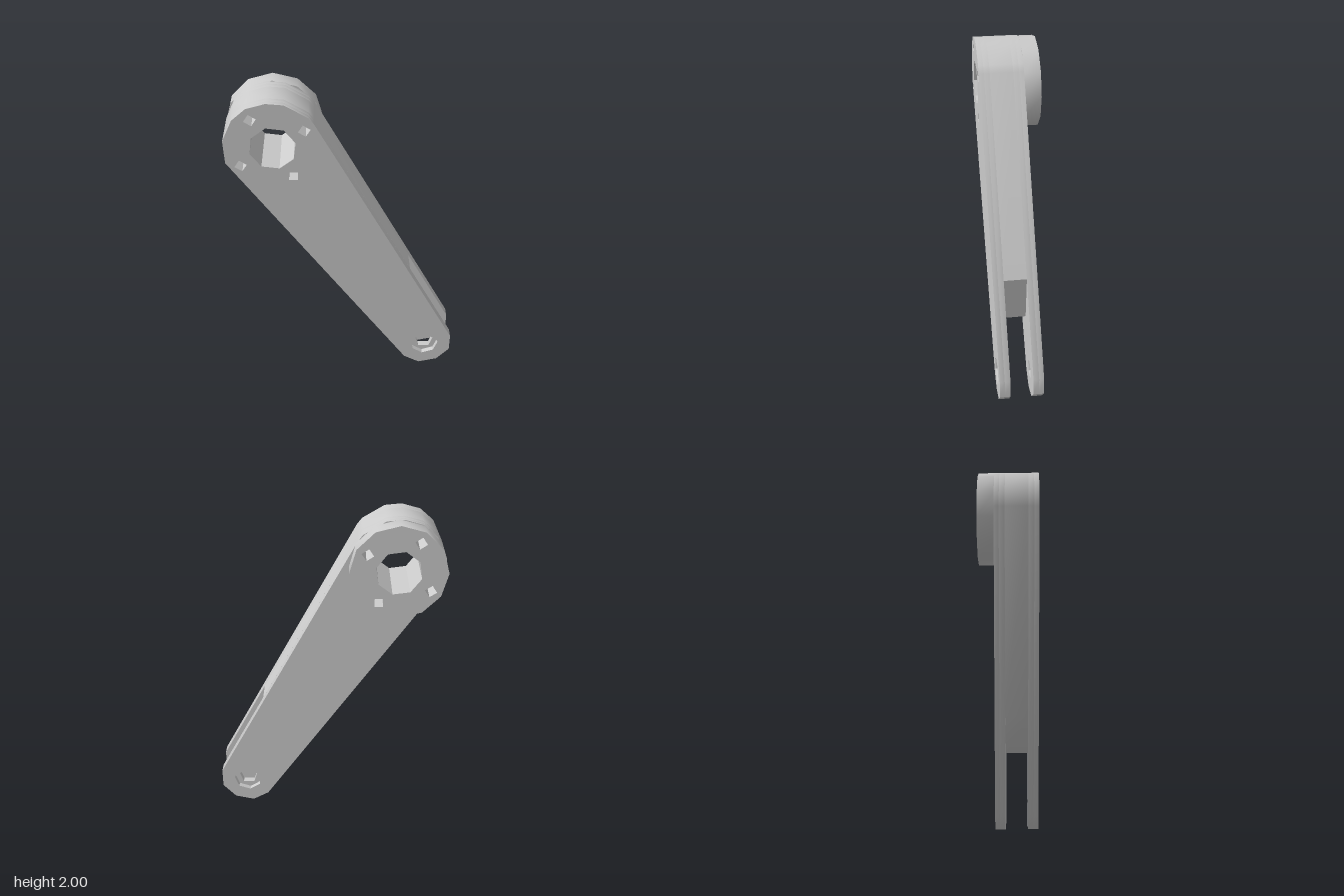
import * as THREE from 'three';
import { toCreasedNormals } from 'three/addons/utils/BufferGeometryUtils.js';

const HUB = [-0.415, 1.72];
const PIN = [0.52, 0.18];

// Regular polygon as a list of points
function ngon([cx, cy], r, sides, phase = 0) {
  return Array.from({ length: sides }, (_, i) => {
    const a = phase + (i / sides) * Math.PI * 2;
    return new THREE.Vector2(cx + r * Math.cos(a), cy + r * Math.sin(a));
  });
}
const points = (list) => list.map(([x, y]) => new THREE.Vector2(x, y));

// Rounded hub end, counter-clockwise from the right edge of the arm
const hubEnd = [[-0.18, 1.87], [-0.21, 1.91], [-0.34, 1.99], [-0.44, 2.0], [-0.55, 1.97],
  [-0.63, 1.9], [-0.69, 1.77], [-0.685, 1.63]];
const forkEnd = [[0.39, 0.06], [0.49, 0.003], [0.61, 0.03], [0.69, 0.12], [0.69, 0.24]];
const slotEnd = [[0.03, 0.585], [0.35, 0.46], [0.402, 0.78]];

const fullArm = points([...hubEnd, ...forkEnd]);
const shortArm = points([...hubEnd, ...slotEnd]);
const boss = ngon(HUB, 0.282, 12, Math.PI / 2);

// Centre bore and four bolt holes
const hubHoles = [
  ngon(HUB, 0.134, 8, 0.25),
  ...[[-0.53, 1.9], [-0.235, 1.83], [-0.6, 1.61], [-0.305, 1.535]]
    .map((c, i) => ngon(c, 0.036, 4, i === 3 ? 0.75 : 0.2)),
];
const pinHole = ngon(PIN, 0.06, 5, 0.3);
const pinRecess = ngon(PIN, 0.09, 7, 0.1);

function slab(name, outline, holes, z0, z1) {
  const shape = new THREE.Shape(outline);
  shape.holes = holes.map((h) => new THREE.Path(h));
  let geo = new THREE.ExtrudeGeometry(shape, { depth: z1 - z0, bevelEnabled: false, steps: 1 });
  geo.translate(0, 0, z0);
  // The arm leans very slightly backward towards the fork
  const p = geo.attributes.position;
  for (let i = 0; i < p.count; i++) p.setZ(i, p.getZ(i) - 0.006 * (HUB[1] - p.getY(i)));
  geo = toCreasedNormals(geo, 0.62);
  const mesh = new THREE.Mesh(geo, new THREE.MeshStandardMaterial({ color: 0xcccccc }));
  mesh.name = name;
  return mesh;
}

export function createModel() {
  const group = new THREE.Group();
  group.name = 'forkedLeverArm';
  const recessed = [...hubHoles, pinRecess];
  const drilled = [...hubHoles, pinHole];

  // Front fork plate, recessed around the pin
  group.add(slab('frontPlateOuter', fullArm, recessed, 0.155, 0.185));
  group.add(slab('frontPlateInner', fullArm, drilled, 0.12, 0.155));
  // Core that stops in a blunt wedge at the fork slot
  group.add(slab('armCore', shortArm, hubHoles, -0.02, 0.12));
  // Back fork plate
  group.add(slab('backPlateInner', fullArm, drilled, -0.055, -0.02));
  group.add(slab('backPlateOuter', fullArm, recessed, -0.085, -0.055));
  // Round boss behind the hub
  group.add(slab('hubBoss', boss, hubHoles, -0.185, -0.085));
  return group;
}
